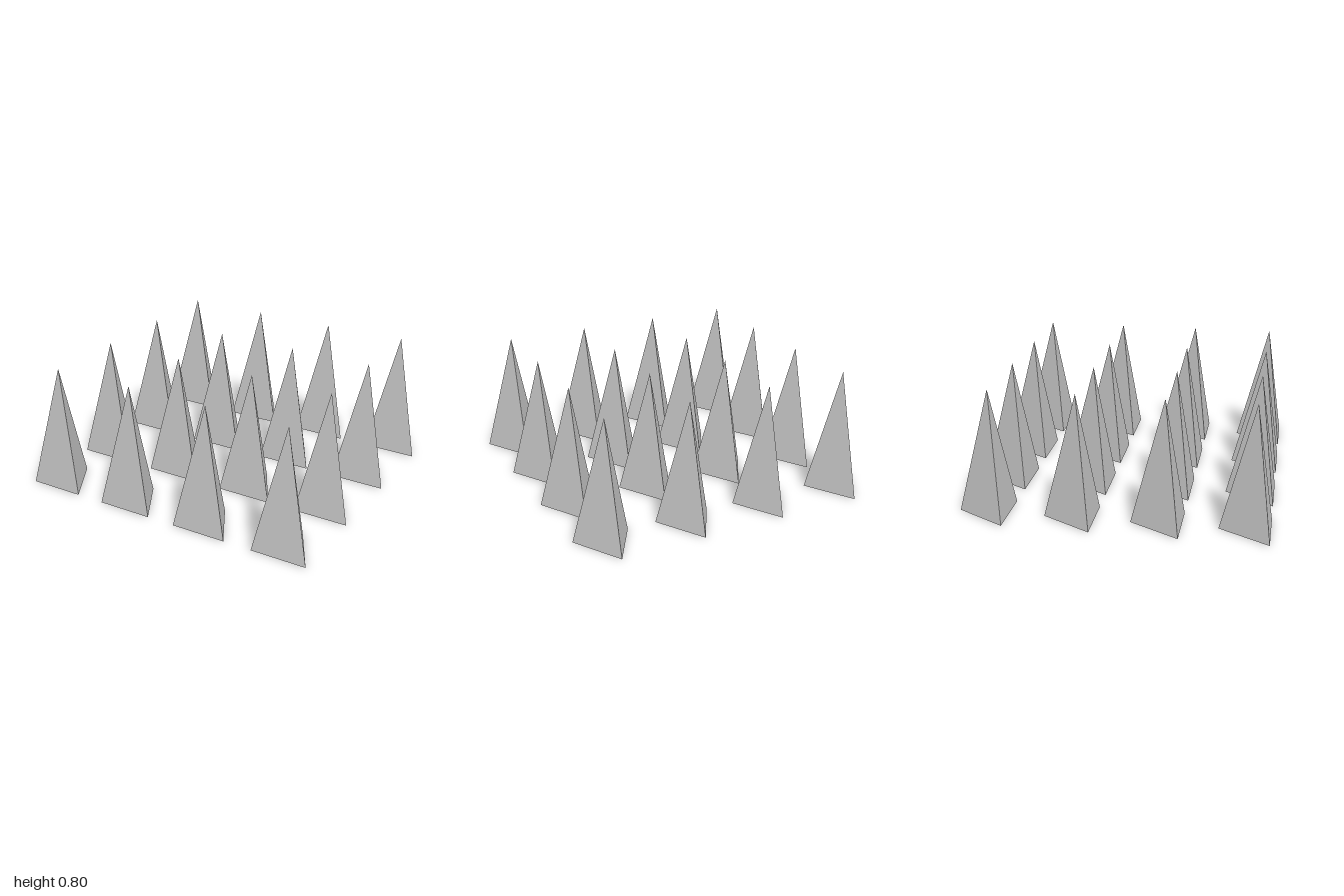
import * as THREE from 'three';

export function createModel() {
  const group = new THREE.Group();
  group.name = 'spikeField';
  const material = new THREE.MeshStandardMaterial({
    color: 0xcccccc, flatShading: true, side: THREE.DoubleSide,
  });

  // Three-sided spike, open at the bottom, one corner pointing back
  const height = 0.8, radius = 0.208;
  const spike = new THREE.ConeGeometry(radius, height, 3, 1, true, Math.PI);
  spike.translate(0, height / 2, 0);

  // Four by four grid; the offset centres the triangular bases in z
  const count = 4, stepX = 0.5465, stepZ = 0.535, offsetZ = radius / 4;
  for (let row = 0; row < count; row++) {
    for (let col = 0; col < count; col++) {
      const mesh = new THREE.Mesh(spike, material);
      mesh.name = `spike_${row + 1}_${col + 1}`;
      mesh.position.set((col - 1.5) * stepX, 0, (row - 1.5) * stepZ + offsetZ);
      group.add(mesh);
    }
  }
  return group;
}
